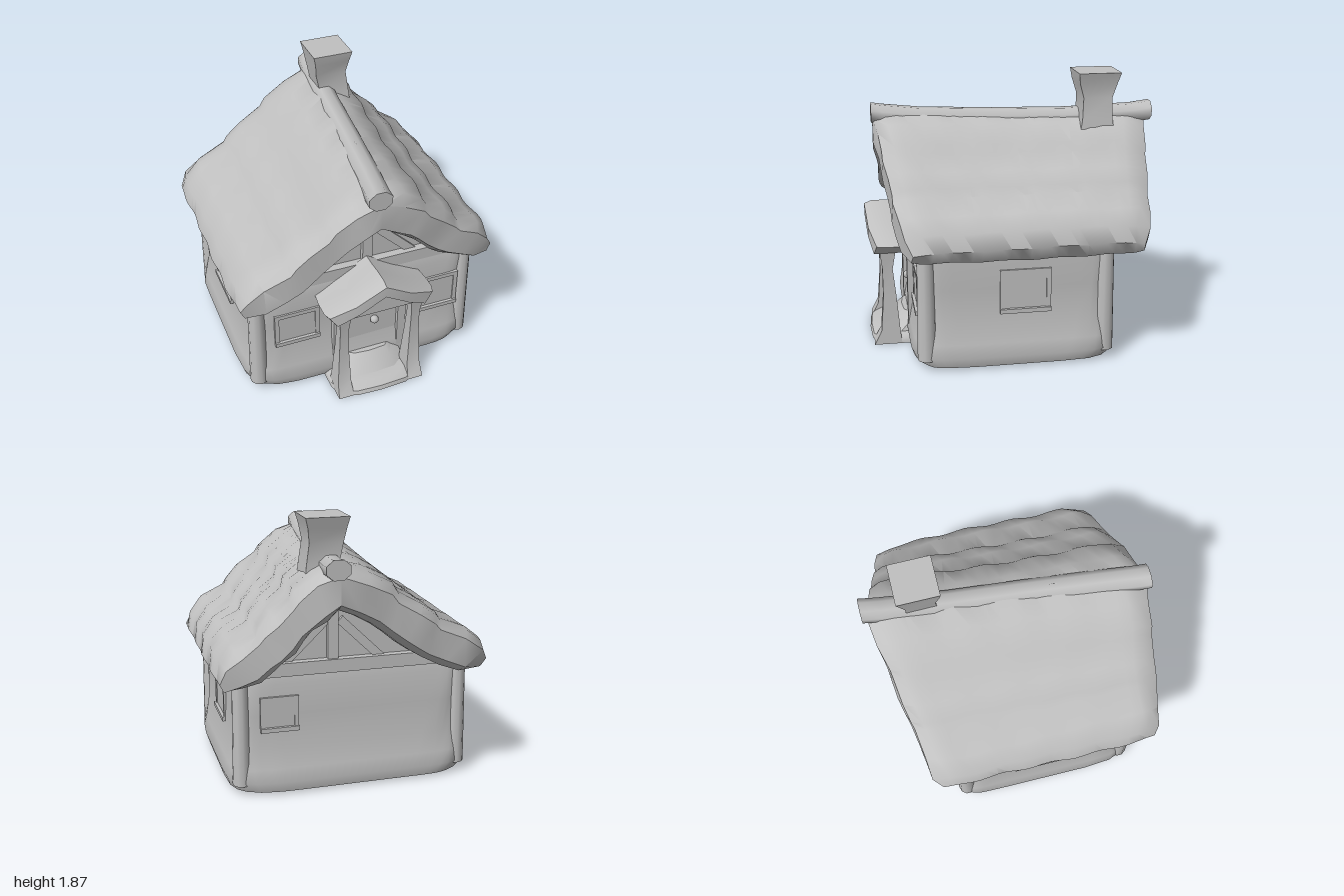
import * as THREE from 'three';
import { toCreasedNormals } from 'three/addons/utils/BufferGeometryUtils.js';

const stone = new THREE.MeshStandardMaterial({ color: 0xc0c0c0 });
stone.name = 'pale grey clay';

// Skin a list of equal-length rings; both ends are closed by zipping point i to point n-1-i.
function loft(rings, crease = 0.7) {
  const n = rings[0].length, index = [];
  rings.slice(1).forEach((_, r) => {
    for (let i = 0; i < n; i++) {
      const a = r * n + i, b = r * n + (i + 1) % n;
      index.push(a, b, b + n, a, b + n, a + n);
    }
  });
  const e = (rings.length - 1) * n;
  for (let i = 0; i < n / 2 - 1; i++) {
    const p = i, q = i + 1, s = n - 2 - i, t = n - 1 - i;
    index.push(e + p, e + q, e + s, e + p, e + s, e + t, p, s, q, p, t, s);
  }
  const g = new THREE.BufferGeometry();
  g.setAttribute('position', new THREE.Float32BufferAttribute(rings.flat(2), 3));
  g.setIndex(index);
  return toCreasedNormals(g, crease);
}

// Four-sided column from levels [y, x0, x1, z0, z1].
const column = (levels) => loft(levels.map(([y, x0, x1, z0, z1]) =>
  [[x0, y, z1], [x1, y, z1], [x1, y, z0], [x0, y, z0]]));

// Flat outline pushed out along z.
function slab(points, z0, z1, hole) {
  const shape = new THREE.Shape(points.map((p) => new THREE.Vector2(...p)));
  if (hole) shape.holes.push(new THREE.Path(hole.map((p) => new THREE.Vector2(...p))));
  const g = new THREE.ExtrudeGeometry(shape, { depth: z1 - z0, bevelEnabled: false });
  return g.translate(0, 0, z0);
}

const rect = (w, h) => [[-w, -h], [w, -h], [w, h], [-w, h]];
const wobble = (x, y, z) => Math.sin(x * 13 + z * 7) * Math.sin(z * 11 - y * 9 + x * 3);

// Thick sagging roof with stepped rows; its ridge and ends run slightly askew.
function roofGeometry() {
  const outer = [[0, 1.6], [0.17, 1.53], [0.33, 1.43], [0.36, 1.37], [0.5, 1.28],
    [0.6, 1.2], [0.63, 1.15], [0.8, 1.07], [0.9, 0.98], [0.93, 0.87]];
  const inner = [[0, 1.3], [0.1, 1.24], [0.2, 1.17], [0.27, 1.11], [0.34, 1.04],
    [0.42, 0.97], [0.5, 0.91], [0.6, 0.85], [0.72, 0.8], [0.87, 0.78]];
  const mirror = (pts) => [...pts.slice(1).reverse().map(([x, y]) => [-x, y]), ...pts];
  const low = mirror(inner), high = mirror(outer);
  const steps = 24, rings = [];
  for (let s = 0; s <= steps; s++) {
    const t = s / steps;
    const pinch = [0.2, 0.04][Math.min(s, steps - s)] ?? 0;
    const place = ([x, y], [ox, oy]) => {
      const px = x + (ox - x) * pinch, py = y + (oy - y) * pinch;
      const u = Math.min(1, Math.abs(px) / 0.93);
      const corner = u > 0.93 ? 0.04 : 0;
      const front = 0.92 - 0.12 * u - 0.035 * px - corner;
      const back = -0.95 + 0.165 * u - 0.025 * px + corner;
      const z = back + (front - back) * t;
      const w = 0.012 * wobble(px, py, z);
      return [px + (0.09 - 0.1 * z) * (1 - u) + w, py + w, z + w];
    };
    rings.push([
      ...low.map((p, i) => place(p, high[i])),
      ...high.map((p, i) => place(p, low[i])).reverse(),
    ]);
  }
  return loft(rings, 0.8);
}

// Walls with rounded corners and a flared foot; levels are [y, half width, back, front, roundness].
function wallGeometry() {
  const levels = [[0.02, 0.835, -0.65, 0.72, 0.32], [0.09, 0.855, -0.665, 0.74, 0.28],
    [0.18, 0.83, -0.64, 0.72, 0.22], [0.32, 0.8, -0.61, 0.69, 0.18], [0.55, 0.79, -0.6, 0.68, 0.15],
    [0.76, 0.8, -0.6, 0.69, 0.15], [0.84, 0.79, -0.58, 0.67, 0.15]];
  return loft(levels.map(([y, hw, zb, zf, e]) => Array.from({ length: 48 }, (_, i) => {
    const a = ((i + 0.5) / 48) * Math.PI * 2;
    const soft = (v) => Math.sign(v) * Math.abs(v) ** e;
    const w = 1 + 0.006 * wobble(Math.sin(a), y, Math.cos(a));
    return [hw * soft(Math.sin(a)) * w - 0.01, y, (zb + zf) / 2 + ((zf - zb) / 2) * soft(Math.cos(a)) * w];
  })), 1);
}

// Worn step: a rounded front on a straight back.
const step = (levels) => loft(levels.map(([y, w, zf]) => [
  [-w * 0.55, y, zf], [0, y, zf + 0.01], [w * 0.6, y, zf], [w, y, zf - 0.08],
  [w, y, 0.66], [0.3 * w, y, 0.66], [-0.3 * w, y, 0.66], [-w, y, 0.66], [-w, y, zf - 0.14], [-w * 0.9, y, zf - 0.05],
].map(([x, h, z]) => [x + 0.01, h, z])));

export function createModel() {
  const house = new THREE.Group();
  house.name = 'cottage';
  const add = (name, geometry, parent = house) => {
    const mesh = new THREE.Mesh(geometry, stone);
    mesh.name = name;
    parent.add(mesh);
    return mesh;
  };

  add('walls', wallGeometry());
  add('roof', roofGeometry());

  // Ridge log, skewed and upturned at both ends
  add('ridgeLog', loft([[-0.98, 0.205, 1.585], [-0.85, 0.19, 1.565], [-0.4, 0.14, 1.54], [0.1, 0.09, 1.54],
    [0.6, 0.03, 1.55], [0.85, -0.01, 1.57], [0.93, -0.02, 1.58]].map(([z, x, y]) =>
    Array.from({ length: 8 }, (_, i) => {
      const a = ((i + 0.5) / 8) * Math.PI * 2;
      return [x + 0.085 * Math.cos(a), y + 0.07 * Math.sin(a), z];
    })), 0.9));

  // Chimney, waisted with a flared top
  add('chimney', column([[1.38, 0.13, 0.35, -0.71, -0.45], [1.55, 0.12, 0.335, -0.69, -0.48],
    [1.7, 0.09, 0.315, -0.69, -0.49], [1.8, 0.075, 0.33, -0.72, -0.46], [1.87, 0.06, 0.35, -0.74, -0.45]]));

  // Gable infill with timber framing
  add('gables', slab([[-0.76, 0.78], [0.76, 0.78], [0.55, 0.93], [0.34, 1.1], [0.1, 1.33], [0, 1.34],
    [-0.34, 1.1], [-0.55, 0.93]], -0.56, 0.62));
  for (const [z, x] of [[0.63, 0.02], [-0.57, 0.13]]) {
    const frame = new THREE.Group();
    frame.name = 'gableTimbers';
    house.add(frame);
    add('tieBeam', new THREE.BoxGeometry(1.4, 0.09, 0.09).translate(0, 0.86, z), frame);
    add('kingPost', new THREE.BoxGeometry(0.07, 0.46, 0.05).translate(x, 1.1, z), frame);
    for (const side of [-1, 1]) {
      const brace = add('brace', new THREE.BoxGeometry(0.06, 0.42, 0.02), frame);
      brace.position.set(x + side * 0.2, 1.02, z);
      brace.rotation.z = side * 0.8;
    }
  }

  // Rounded corner posts
  for (const x of [-0.77, 0.75]) {
    for (const z of [0.64, -0.555]) {
      add('cornerPost', new THREE.CylinderGeometry(0.055, 0.065, 0.76, 10).translate(x, 0.45, z));
    }
  }

  // Windows: low surround, thin pane and sill
  const addWindow = (x, y, z, turn, w, h, bars = false) => {
    const win = new THREE.Group();
    win.name = 'window';
    win.position.set(x, y, z);
    win.rotation.y = turn;
    house.add(win);
    add('surround', slab(rect(w + 0.03, h + 0.03), -0.03, 0.012, rect(w, h)), win);
    add('pane', new THREE.BoxGeometry(w * 2, h * 2, 0.008), win);
    add('sill', new THREE.BoxGeometry(w * 2 + 0.06, 0.03, 0.04).translate(0, -h - 0.015, 0.005), win);
    if (bars) add('mullion', new THREE.BoxGeometry(0.04, h * 2, 0.024), win);
  };
  addWindow(0.53, 0.5, 0.685, 0, 0.14, 0.11);
  addWindow(-0.5, 0.51, 0.685, 0, 0.13, 0.1);
  addWindow(0.785, 0.53, -0.01, Math.PI / 2, 0.14, 0.12);
  addWindow(-0.805, 0.53, 0, -Math.PI / 2, 0.16, 0.1, true);
  addWindow(0.5, 0.56, -0.605, Math.PI, 0.1, 0.09);

  // Door with an arched frame and a knob
  const arch = (w, top) => [[-w, 0.1], [w, 0.1], [w, top - 0.12], [w * 0.7, top - 0.02],
    [0, top], [-w * 0.7, top - 0.02], [-w, top - 0.12]];
  const door = new THREE.Group();
  door.name = 'door';
  door.position.x = 0.02;
  house.add(door);
  add('doorFrame', slab(arch(0.27, 0.74), 0.64, 0.73, arch(0.21, 0.68)), door);
  add('doorLeaf', slab(arch(0.22, 0.69), 0.64, 0.7), door);
  add('doorKnob', new THREE.SphereGeometry(0.03, 10, 8).translate(0.04, 0.41, 0.715), door);

  // Porch: worn steps, flared posts and a small gabled roof
  const porch = new THREE.Group();
  porch.name = 'porch';
  house.add(porch);
  add('lowerStep', step([[0, 0.32, 0.98], [0.03, 0.315, 0.97], [0.06, 0.28, 0.92]]), porch);
  add('upperStep', step([[0.04, 0.26, 0.88], [0.12, 0.23, 0.8], [0.17, 0.2, 0.75]]), porch);
  for (const x of [-0.24, 0.28]) {
    add('porchPost', column([[0, x - 0.06, x + 0.05, 0.78, 0.97], [0.1, x - 0.05, x + 0.045, 0.79, 0.92],
      [0.35, x - 0.035, x + 0.035, 0.81, 0.9], [0.55, x - 0.03, x + 0.03, 0.83, 0.9],
      [0.72, x - 0.045, x + 0.045, 0.8, 0.92]]), porch);
  }
  const porchRing = (z, grow) => [[-0.31, 0.67], [-0.17, 0.75], [0.01, 0.86], [0.18, 0.75], [0.32, 0.67],
    [0.39 + grow, 0.74], [0.2, 0.83 + grow], [0.01, 0.95 + grow], [-0.19, 0.83 + grow], [-0.37 - grow, 0.74]]
    .map(([x, y]) => [x, y, z - x * x * 0.45]);
  add('porchRoof', loft([porchRing(0.66, 0), porchRing(0.75, 0), porchRing(0.85, 0.01),
    porchRing(0.95, 0.01), porchRing(1, -0.01)]), porch);
  add('porchGable', slab([[-0.29, 0.69], [0.31, 0.69], [0.01, 0.88]], 0.66, 0.94), porch);

  return house;
}
